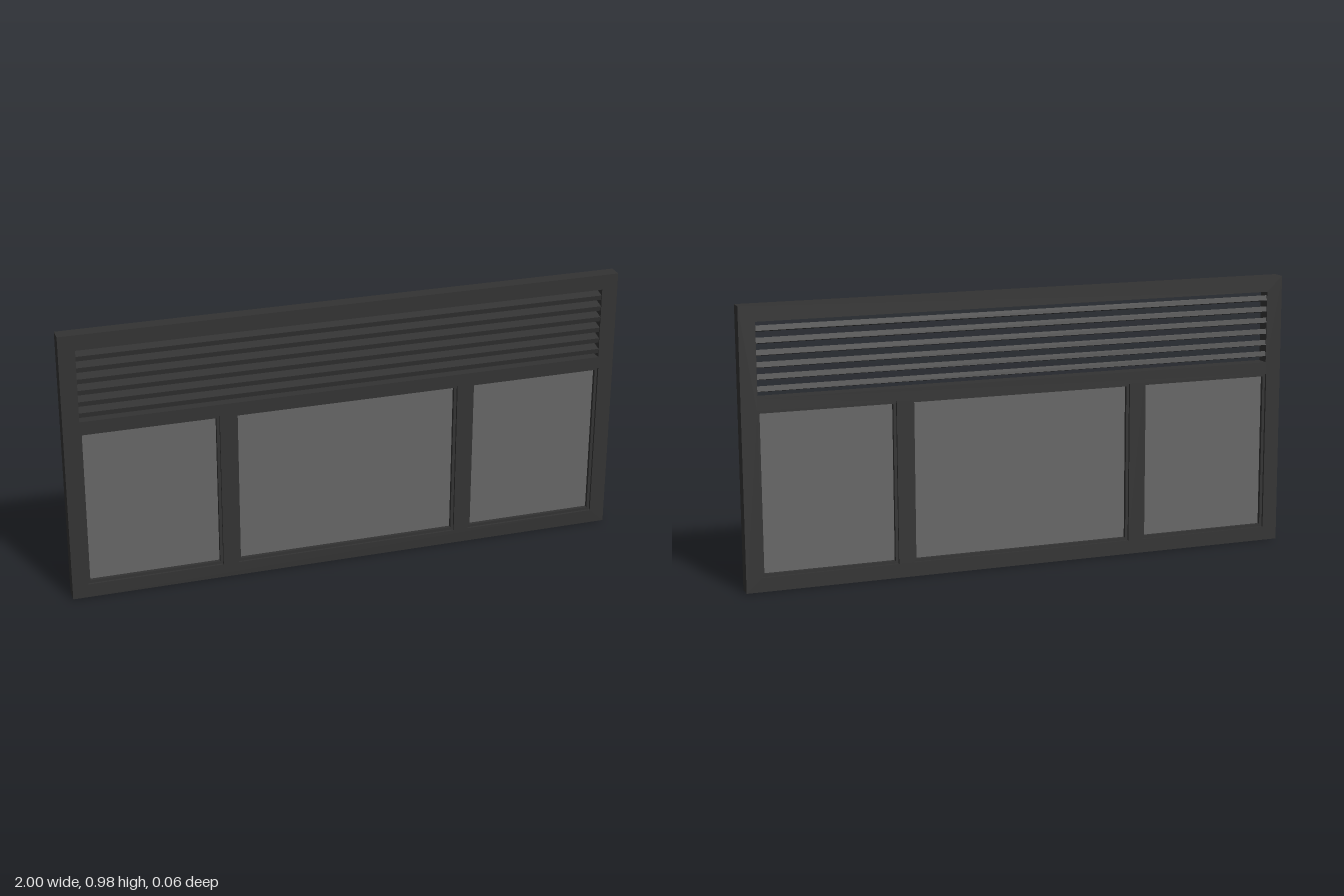
import * as THREE from 'three';

const WIDTH = 2, HEIGHT = 0.984, DEPTH = 0.051;

// Closed rectangle running through the given bounds
function rectangle(x0, x1, y0, y1, Type = THREE.Path) {
  const r = new Type();
  r.moveTo(x0, y0);
  r.lineTo(x1, y0);
  r.lineTo(x1, y1);
  r.lineTo(x0, y1);
  r.closePath();
  return r;
}

// Rectangular plate with rectangular holes, centred in z
function plate(bounds, holes, depth) {
  const shape = rectangle(...bounds, THREE.Shape);
  holes.forEach((h) => shape.holes.push(rectangle(...h)));
  const geometry = new THREE.ExtrudeGeometry(shape, { depth, bevelEnabled: false });
  return geometry.translate(0, 0, -depth / 2);
}

export function createModel() {
  const model = new THREE.Group();
  model.name = 'louvredWindow';

  const dark = new THREE.MeshStandardMaterial({ color: 0x333333 });
  const glass = new THREE.MeshStandardMaterial({ color: 0x666666 });

  // The whole window leans very slightly forward
  const leaning = new THREE.Group();
  leaning.name = 'window';
  leaning.position.y = HEIGHT / 2;
  leaning.rotation.x = 0.0075;
  model.add(leaning);

  const body = new THREE.Group();
  body.name = 'windowBody';
  body.position.y = -HEIGHT / 2;
  leaning.add(body);

  function add(name, geometry, material) {
    const mesh = new THREE.Mesh(geometry, material);
    mesh.name = name;
    body.add(mesh);
    return mesh;
  }

  // Outer frame with mullions and transom in one piece
  const panes = {
    right: [-0.945, -0.46, 0.05, 0.627],
    centre: [-0.405, 0.405, 0.05, 0.627],
    left: [0.46, 0.945, 0.05, 0.627],
  };
  const vent = [-0.942, 0.942, 0.67, 0.929];
  add('frame', plate([-WIDTH / 2, WIDTH / 2, 0, HEIGHT], [...Object.values(panes), vent], DEPTH), dark);

  // Glazing beads and glass in each lower opening
  for (const [side, [x0, x1, y0, y1]] of Object.entries(panes)) {
    const b = 0.01;
    const inner = [x0 + b, x1 - b, y0 + b, y1 - b];
    add(`${side}GlazingBead`, plate([x0, x1, y0, y1], [inner], 0.034), dark);
    add(`${side}Glass`, plate(inner, [], 0.008), glass);
  }

  // Tilted louvre slats across the upper opening
  const slats = 6, pitch = 0.041;
  const slatGeometry = new THREE.BoxGeometry(vent[1] - vent[0], 0.0185, 0.044);
  for (let i = 0; i < slats; i++) {
    const slat = add(`louvreSlat${i + 1}`, slatGeometry, dark);
    slat.position.y = (vent[2] + vent[3]) / 2 + (i - (slats - 1) / 2) * pitch;
    slat.rotation.x = 0.22;
  }

  return model;
}
